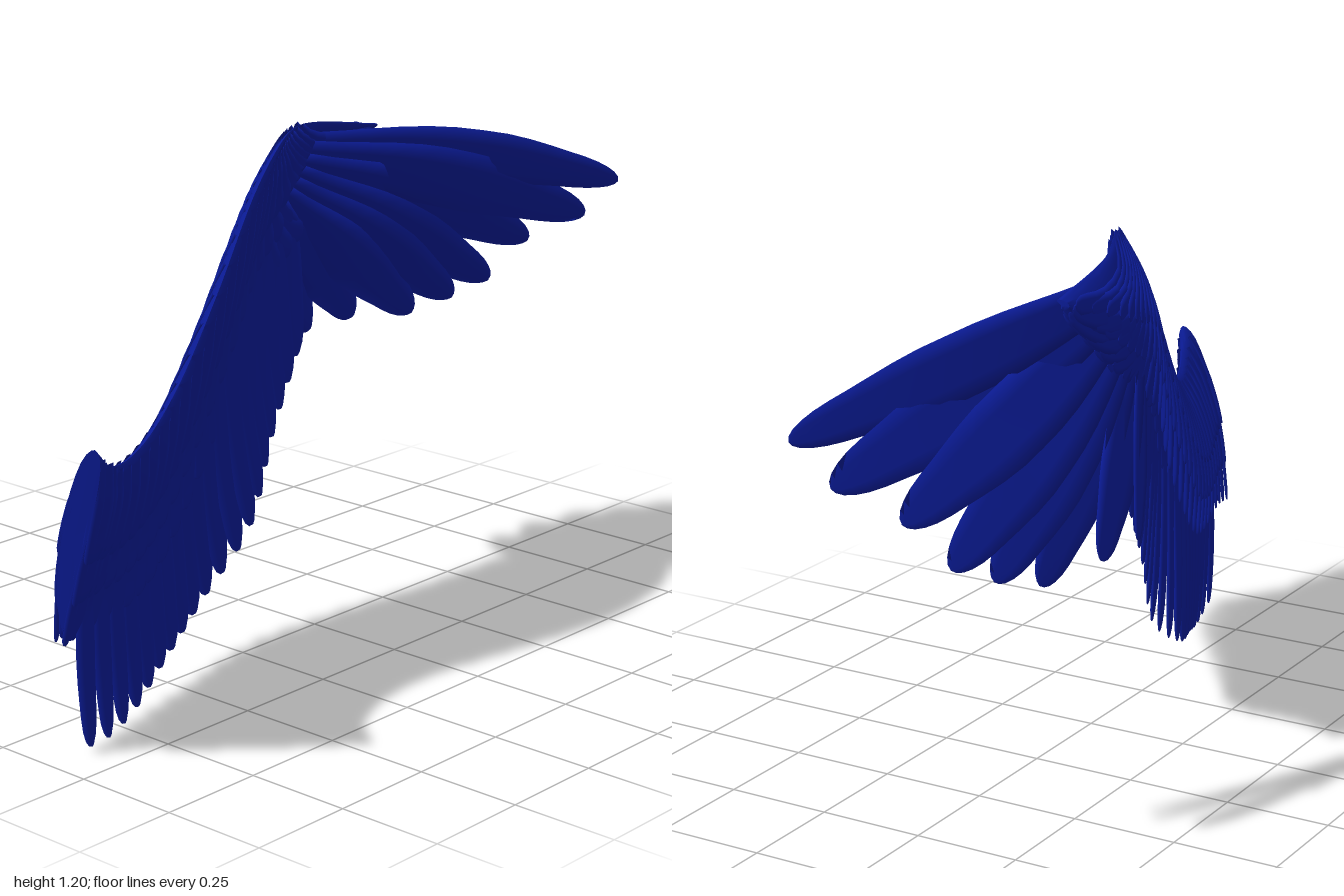
import * as THREE from 'three';
import { toCreasedNormals } from 'three/addons/utils/BufferGeometryUtils.js';

const V = (x, y, z) => new THREE.Vector3(x, y, z);
const curve = pts => new THREE.CatmullRomCurve3(pts.map(p => V(...p)));
const { clamp, lerp, smoothstep } = THREE.MathUtils;
const material = new THREE.MeshStandardMaterial({ color: 0x0a1a92, side: THREE.DoubleSide });

// Guide lines from root (t = 0) to wing hand (t = 1)
const leading = curve([
  [-.99, .73, .295], [-.9, .665, .25], [-.75, .66, .185], [-.6, .74, .14], [-.45, .92, .12],
  [-.3, 1.1, .085], [-.15, 1.18, .02], [0, 1.2, -.06], [.15, 1.185, -.12], [.38, 1.145, -.14]]);
const covertEdge = curve([
  [-.985, .27, .16], [-.9, .28, .145], [-.75, .27, .1], [-.6, .3, .05], [-.42, .42, -.01],
  [-.23, .6, -.07], [-.07, .78, -.13], [.1, .88, -.17], [.25, .98, -.19], [.38, 1.12, -.155]]);
const trailing = curve([
  [-.97, .05, .155], [-.88, .01, .15], [-.72, .01, .1], [-.54, .06, .025],
  [-.3, .13, -.075], [-.1, .25, -.11], [.02, .44, -.15], [.16, .6, -.2]]);

// Point on the wing's hollowed middle surface: s runs from the leading edge to the covert edge
function onWing(t, s) {
  const p = leading.getPoint(t).lerp(covertEdge.getPoint(t), s);
  p.z -= (.012 + .024 * Math.sin(Math.PI * clamp(t, 0, 1))) * Math.sin(Math.PI * s);
  return p;
}

// Surface normal, pointing to the front
function wingNormal(t) {
  const a = clamp(t, .03, .88);
  const chord = covertEdge.getPoint(a).sub(leading.getPoint(a));
  const span = onWing(a + .03, .4).sub(onWing(a - .03, .4));
  return chord.cross(span).normalize();
}

// Half thickness of the wing's arm
function halfThickness(t, s) {
  const root = 1 + .4 * Math.max(0, 1 - t * 12);
  return (.05 * Math.sqrt(s) * (1 - s) + .003 * Math.min(1, s * 20)) * root * (1 - .6 * t * t);
}

// Skin over rings that all have the same number of points
function loft(rings) {
  const n = rings[0].length, index = [];
  for (let k = 0; k < rings.length - 1; k++) {
    for (let j = 0; j < n; j++) {
      const a = k * n + j, b = k * n + (j + 1) % n;
      index.push(a, b, a + n, b, b + n, a + n);
    }
  }
  const g = new THREE.BufferGeometry().setFromPoints(rings.flat());
  g.setIndex(index);
  g.computeVertexNormals();
  return g;
}

// Thin lens-shaped blade with a tapered, rounded tip, following a path
function feather(path, normal, width, { thickness = .004, roll = .08, taper = .15, N = 12 } = {}) {
  const rings = [];
  for (let k = 0; k <= N; k++) {
    const u = Math.sin(Math.PI / 2 * k / N);
    const d = path.getTangent(Math.min(u, .999)).normalize();
    const side = normal.clone().cross(d).normalize().applyAxisAngle(d, roll);
    const up = d.clone().cross(side);
    const round = Math.sqrt(Math.max(0, 1 - clamp((u - .88) / .12, 0, 1) ** 2));
    const w = width / 2 * (.6 + .4 * smoothstep(u, 0, .5)) * (1 - taper * smoothstep(u, .6, 1)) * round;
    const centre = path.getPoint(u);
    const ring = [];
    for (let j = 0; j < 6; j++) {
      const a = j * Math.PI / 3, c = Math.cos(a);
      ring.push(centre.clone()
        .addScaledVector(side, w * c)
        .addScaledVector(up, thickness * (.3 + .7 * round) * Math.sin(a) - w * .06 * c * c));
    }
    rings.push(ring);
  }
  return loft(rings);
}

export function createModel() {
  const wing = new THREE.Group();
  wing.name = 'wing';

  const group = name => {
    const g = new THREE.Group();
    g.name = name;
    wing.add(g);
    return g;
  };
  const add = (parent, geometry, name) => {
    const mesh = new THREE.Mesh(geometry, material);
    mesh.name = name;
    parent.add(mesh);
  };

  // Arm: a tapering lens section swept from root to hand
  const rings = [];
  const S = 10, T = 48;
  for (let i = 0; i <= T; i++) {
    const t = i / T, n = wingNormal(t), ring = [];
    for (let j = 0; j < 2 * S; j++) {
      const q = j <= S ? j / S : 2 - j / S;
      const s = q * q * .92;
      ring.push(onWing(t, s).addScaledVector(n, (j <= S ? 1 : -1) * halfThickness(t, s)));
    }
    rings.push(ring);
  }
  rings.unshift(rings[0].map(() => onWing(0, .45)));
  rings.push(rings[rings.length - 1].map(() => onWing(1, .45)));
  add(wing, toCreasedNormals(loft(rings), 1), 'arm');

  // Secondary flight feathers, evenly spaced along the trailing edge
  const secondaries = group('secondaryFeathers');
  const count = 19;
  for (let i = 0; i < count; i++) {
    const k = trailing.getUtoTmapping(lerp(.07, 1, i / (count - 1))), t = k * 7 / 9;
    const path = new THREE.QuadraticBezierCurve3(
      onWing(t - .01, .42), onWing(t, .95), trailing.getPoint(k));
    add(secondaries, feather(path, wingNormal(t), .078 + .045 * smoothstep(t, .1, .6),
      { thickness: .005, taper: .25 }), 'secondaryFeather');
  }

  // Primary flight feathers fanning out from the hand
  const primaries = group('primaryFeathers');
  const tips = [
    [1, .945, .13], [.97, .85, .05], [.905, .775, -.08], [.84, .67, -.155],
    [.76, .63, -.21], [.66, .6, -.26], [.49, .615, -.31], [.33, .615, -.31]];
  tips.forEach((p, i) => {
    const f = i / (tips.length - 1), tip = V(...p);
    const normal = V(-.3, -.35, 1).lerp(V(.35, -.1, 1), f ** 3);
    normal.y -= .35 * Math.sin(Math.PI * f);
    const base = V(.14, 1.12, -.145).lerp(V(-.02, .97, -.12), f);
    const bend = base.clone().lerp(tip, .52).add(V(.02, .025 * (1 - f) + .015, -.1 * (1 - f) - .01));
    const path = new THREE.QuadraticBezierCurve3(base, bend, tip);
    add(primaries, feather(path, normal.normalize(), i === 0 ? .14 : .18 - .05 * f,
      { thickness: .004, roll: .05, taper: .45, N: 16 }), 'primaryFeather');
  });

  // Overlapping covert rows on both faces; they slant outward near the hand
  const rows = [
    { name: 'greaterCoverts', from: .42, to: 1, n: 27, lift: .004 },
    { name: 'medianCoverts', from: .28, to: .78, n: 28, lift: .006 },
    { name: 'lesserCoverts', from: .03, to: .55, n: 30, lift: .009 }];
  for (const row of rows) {
    for (const face of [1, -1]) {
      const parent = group(row.name + (face > 0 ? 'Front' : 'Back'));
      for (let i = 0; i < row.n; i++) {
        const t1 = lerp(.02, .995, i / (row.n - 1));
        const t0 = t1 - .2 * smoothstep(t1, .55, 1);
        const place = f => {
          const t = lerp(t0, t1, f), s = lerp(row.from, row.to, f);
          return onWing(t, s).addScaledVector(wingNormal(t),
            face * (halfThickness(t, Math.min(s, .95)) + row.lift * f));
        };
        const path = new THREE.CatmullRomCurve3([0, .33, .67, 1].map(place));
        const width = i === 0 ? .04 : .092 - .035 * smoothstep(t1, .7, 1);
        add(parent, feather(path, wingNormal((t0 + t1) / 2).multiplyScalar(face),
          width, { roll: .13 * face, N: 9 }), 'covertFeather');
      }
    }
  }
  return wing;
}
